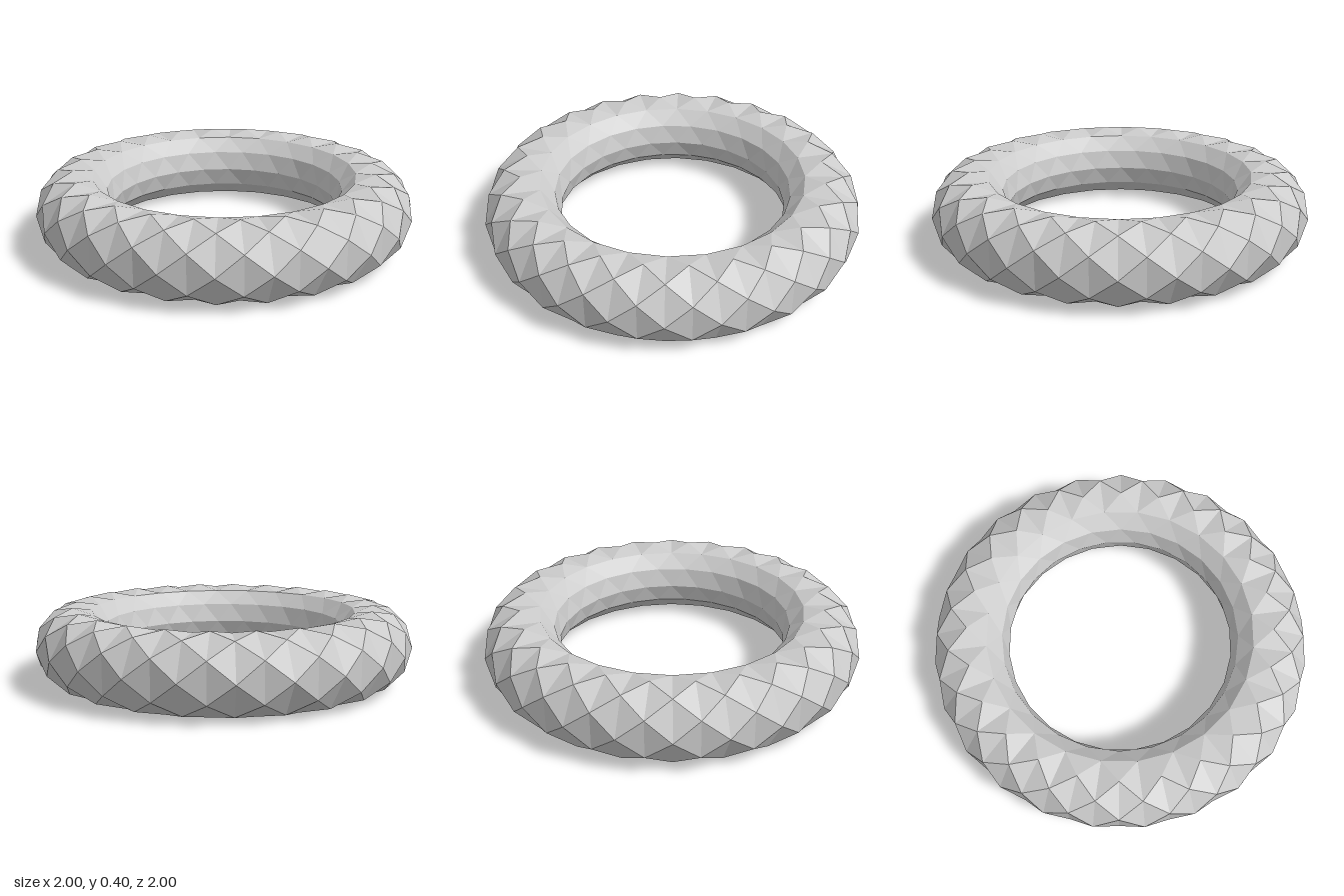
import * as THREE from 'three';

const RINGS = 12;      // rings around the tube section
const SEGMENTS = 24;   // vertices along each ring
const MAJOR = 0.8;
const MINOR = 0.2;

// Vertex on ring k, at half-step h around the axis
function ringPoint(k, h) {
  const phi = (k / RINGS) * Math.PI * 2;
  const angle = (h / (SEGMENTS * 2)) * Math.PI * 2;
  const r = MAJOR + MINOR * Math.cos(phi);
  return new THREE.Vector3(r * Math.sin(angle), MINOR + MINOR * Math.sin(phi), r * Math.cos(angle));
}

// Torus of diamonds: odd rings are shifted by half a step,
// and each diamond is folded along its shorter diagonal
function diamondTorus() {
  const points = [];
  for (let k = 0; k < RINGS; k++) {
    for (let s = 0; s < SEGMENTS; s++) {
      const h = s * 2 + (k % 2) + 1;
      const left = ringPoint(k, h - 1);
      const right = ringPoint(k, h + 1);
      const below = ringPoint(k - 1, h);
      const above = ringPoint(k + 1, h);
      if (below.distanceTo(above) < left.distanceTo(right)) {
        points.push(below, right, above, below, above, left);
      } else {
        points.push(left, below, right, left, right, above);
      }
    }
  }
  const geometry = new THREE.BufferGeometry().setFromPoints(points);
  geometry.computeVertexNormals();
  return geometry;
}

export function createModel() {
  const group = new THREE.Group();
  group.name = 'facetedRing';
  const material = new THREE.MeshStandardMaterial({ color: 0xcccccc, flatShading: true });
  const ring = new THREE.Mesh(diamondTorus(), material);
  ring.name = 'ring';
  group.add(ring);
  return group;
}
